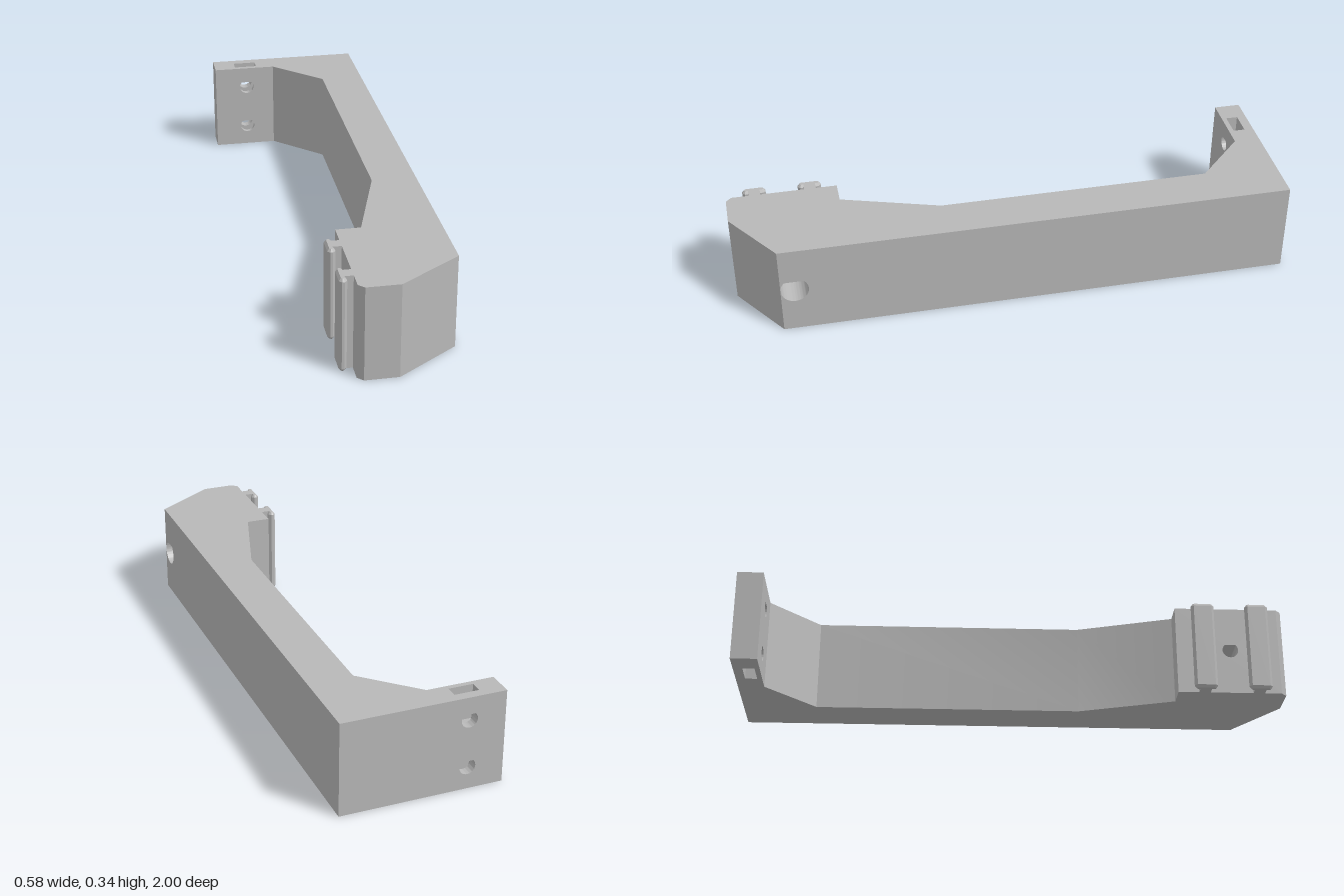
import * as THREE from 'three';
import { toCreasedNormals } from 'three/addons/utils/BufferGeometryUtils.js';

const H = 0.34;          // height of the bracket
const BORE = [0.8, 0.172]; // z, y of the cross bore

const poly = (pts) => new THREE.Shape(pts.map(([a, b]) => new THREE.Vector2(a, b)));
const extrude = (shape, depth) =>
  new THREE.ExtrudeGeometry(shape, { depth, bevelEnabled: false, curveSegments: 32 });

// Round hole with a pointed 45 degree roof
function teardrop(cx, cy, r) {
  const p = new THREE.Path();
  p.moveTo(cx, cy + r * Math.SQRT2);
  p.absarc(cx, cy, r, Math.PI * 0.75, Math.PI * 2.25, false);
  p.closePath();
  return p;
}

export function createModel() {
  const group = new THREE.Group();
  const grey = new THREE.MeshStandardMaterial({ color: 0xb8b8b8 });
  grey.name = 'grey plastic';
  const add = (name, geo) => {
    const mesh = new THREE.Mesh(toCreasedNormals(geo, 0.4), grey);
    mesh.name = name;
    group.add(mesh);
    return mesh;
  };

  // Long arm with the gusset at the back and the taper towards the head
  const arm = poly([
    [-0.05, -1], [0.29, -1], [0.29, 0.6], [0.02, 0.6],
    [0.13, 0.25], [0.13, -0.73], [-0.05, -0.905],
  ].map(([x, z]) => [x, -z]));
  add('arm', extrude(arm, H).rotateX(-Math.PI / 2));

  // Rear flange in three layers, the middle one holding two nut pockets
  const x0 = -0.29, x1 = -0.05, p0 = -0.207, p1 = -0.119;
  const holed = poly([[x0, 0], [x1, 0], [x1, H], [x0, H]]);
  for (const y of [0.083, 0.258]) holed.holes.push(teardrop(-0.161, y, 0.0285));
  const pocketed = poly([
    [x0, 0], [p0, 0], [p0, 0.127], [p1, 0.127], [p1, 0], [x1, 0],
    [x1, H], [p1, H], [p1, 0.214], [p0, 0.214], [p0, H], [x0, H],
  ]);
  const layers = [
    ['flangeBack', holed, -1, -0.966],
    ['flangePockets', pocketed, -0.966, -0.923],
    ['flangeFront', holed, -0.923, -0.905],
  ];
  for (const [name, shape, z0, z1] of layers) {
    add(name, extrude(shape, z1 - z0).translate(0, 0, z0));
  }

  // Head in slabs along x; its front edge slopes from zA to zB across each slab
  function headSlab(name, xa, xb, zA, zB, r) {
    const shape = poly([[-1, 0], [-0.6, 0], [-0.6, H], [-1, H]]);
    shape.holes.push(teardrop(-BORE[0], BORE[1], r));
    const geo = extrude(shape, xb - xa).rotateY(Math.PI / 2).translate(xa, 0, 0);
    const pos = geo.attributes.position;
    for (let i = 0; i < pos.count; i++) {
      if (pos.getZ(i) > 0.99) {
        pos.setZ(i, THREE.MathUtils.mapLinear(pos.getX(i), xa, xb, zA, zB));
      }
    }
    geo.computeVertexNormals();
    add(name, geo);
  }
  headSlab('headEdge', -0.068, -0.048, 0.98, 1, 0.029);
  headSlab('headInner', -0.048, 0.03, 1, 1, 0.029);
  headSlab('headMiddle', 0.03, 0.07, 1, 1, 0.0495);
  headSlab('headChamfer', 0.07, 0.29, 1, 0.85, 0.0495);

  // Two T-shaped rails on the inner side of the head
  const b = 0.007;
  for (const z of [0.697, 0.897]) {
    const stem = new THREE.BoxGeometry(0.034, H, 0.042).translate(-0.083, H / 2, z);
    add('railStem', stem);
    const w = 0.0135 - b, d = 0.042 - b, c = 0.005;
    const section = poly([
      [-w, -d + c], [-w + c, -d], [w - c, -d], [w, -d + c],
      [w, d - c], [w - c, d], [-w + c, d], [-w, d - c],
    ]);
    const cap = new THREE.ExtrudeGeometry(section, {
      depth: H - 0.02, bevelThickness: 0.01, bevelSize: b, bevelSegments: 1,
    });
    add('railCap', cap.rotateX(-Math.PI / 2).translate(-0.1045, 0.01, z));
  }
  return group;
}
